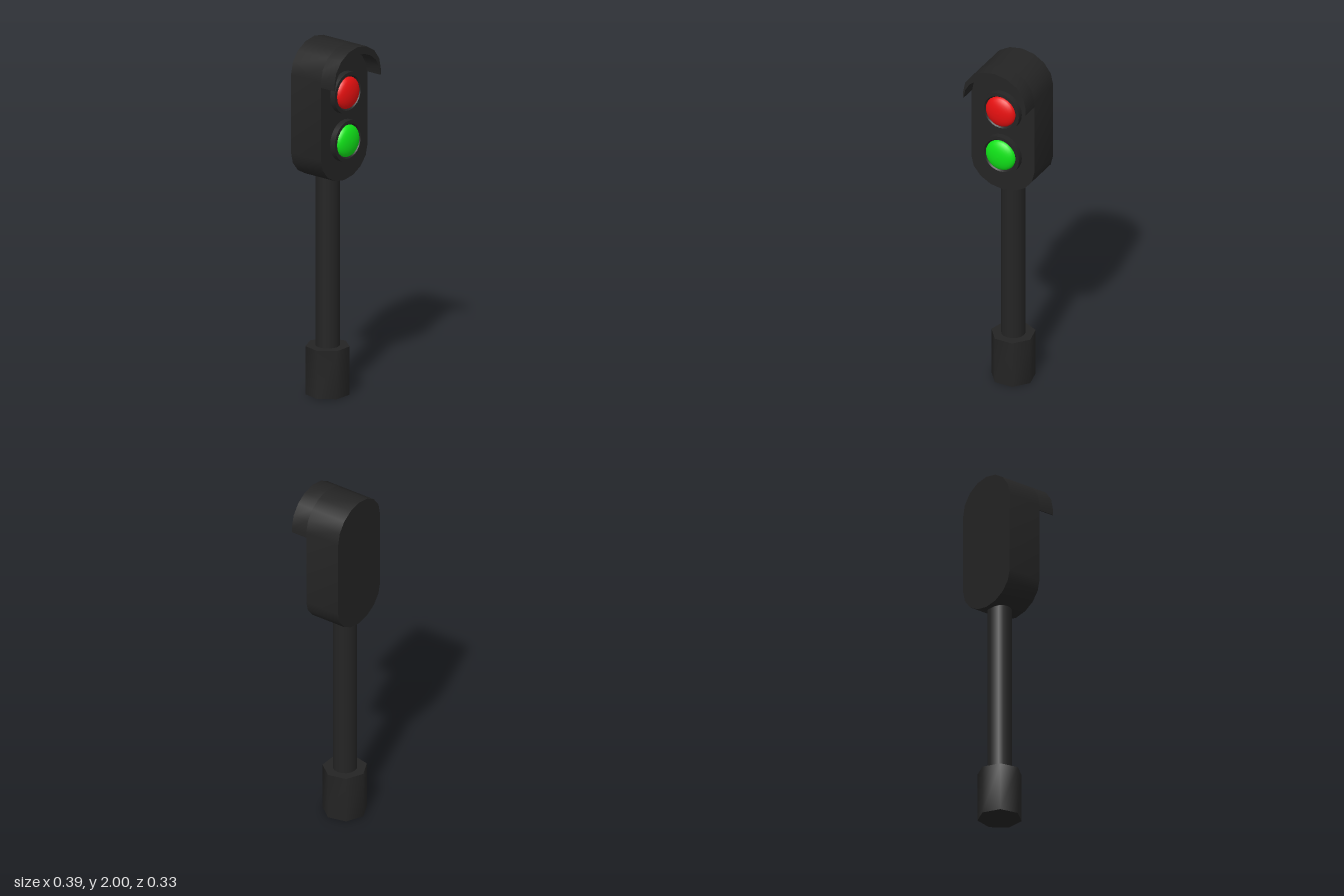
import * as THREE from 'three';
import { toCreasedNormals } from 'three/addons/utils/BufferGeometryUtils.js';

const AXIS_Z = -0.045;   // post and base are set back from the origin
const FACE_Z = 0.072;    // front face of the signal head
const HALF_W = 0.193;

// Points along an elliptical arc, angles in radians
function arc(cy, rx, ry, from, to, steps) {
  const points = [];
  for (let i = 0; i <= steps; i++) {
    const a = from + (to - from) * i / steps;
    points.push(new THREE.Vector2(rx * Math.cos(a), cy + ry * Math.sin(a)));
  }
  return points;
}

// Extrude an outline from z0 to z1 with smooth curved sides and sharp rims
function slab(points, z0, z1) {
  const geometry = new THREE.ExtrudeGeometry(new THREE.Shape(points), {
    depth: z1 - z0, bevelEnabled: false,
  });
  geometry.translate(0, 0, z0);
  return toCreasedNormals(geometry, 0.6);
}

export function createModel() {
  const model = new THREE.Group();
  model.name = 'signalLight';

  const black = new THREE.MeshStandardMaterial({ color: 0x242424 });
  black.name = 'blackMetal';
  const red = new THREE.MeshStandardMaterial({ color: 0xe81010 });
  red.name = 'redLens';
  const green = new THREE.MeshStandardMaterial({ color: 0x10e418 });
  green.name = 'greenLens';

  function add(name, geometry, material, parent = model) {
    const mesh = new THREE.Mesh(geometry, material);
    mesh.name = name;
    parent.add(mesh);
    return mesh;
  }

  // Seven-sided foot with one corner pointing backwards
  const foot = new THREE.CylinderGeometry(0.122, 0.122, 0.272, 7);
  foot.rotateY(Math.PI);
  add('base', toCreasedNormals(foot, 1), black).position.set(0, 0.136, AXIS_Z);

  // Post
  add('post', new THREE.CylinderGeometry(0.066, 0.066, 1.0, 16), black)
    .position.set(0, 0.76, AXIS_Z);

  // Rounded signal head
  const topArc = arc(1.828, HALF_W, 0.172, 0, Math.PI, 8);
  const bottomArc = arc(1.385, HALF_W, 0.157, Math.PI, Math.PI * 2, 8);
  add('head', slab([...topArc, ...bottomArc], -0.139, FACE_Z), black);

  // Crescent visor that thins out towards its side tips
  const outer = [new THREE.Vector2(HALF_W, 1.797), ...topArc, new THREE.Vector2(-HALF_W, 1.797)];
  const inner = arc(1.797, HALF_W - 0.005, 0.158, Math.PI, 0, 10);
  add('visor', slab([...outer, ...inner], FACE_Z, 0.167), black);

  // Lamps: a recessed rim around a domed lens
  const rimProfile = [[0.117, 0], [0.117, 0.033], [0.098, 0.033], [0.09, 0.022], [0, 0.022]]
    .map(([r, h]) => new THREE.Vector2(r, h));
  const domeProfile = [];
  for (let i = 0; i <= 8; i++) {
    const a = i / 8 * Math.PI / 2;
    domeProfile.push(new THREE.Vector2(0.09 * Math.cos(a), 0.022 + 0.038 * Math.sin(a)));
  }
  for (const [name, y, material] of [['red', 1.727, red], ['green', 1.455, green]]) {
    const lamp = new THREE.Group();
    lamp.name = name + 'Lamp';
    lamp.position.set(0, y, FACE_Z);
    lamp.rotation.x = Math.PI / 2;
    model.add(lamp);
    add(name + 'Rim', toCreasedNormals(new THREE.LatheGeometry(rimProfile, 24), 0.6), black, lamp);
    add(name + 'Lens', new THREE.LatheGeometry(domeProfile, 24), material, lamp);
  }

  return model;
}
